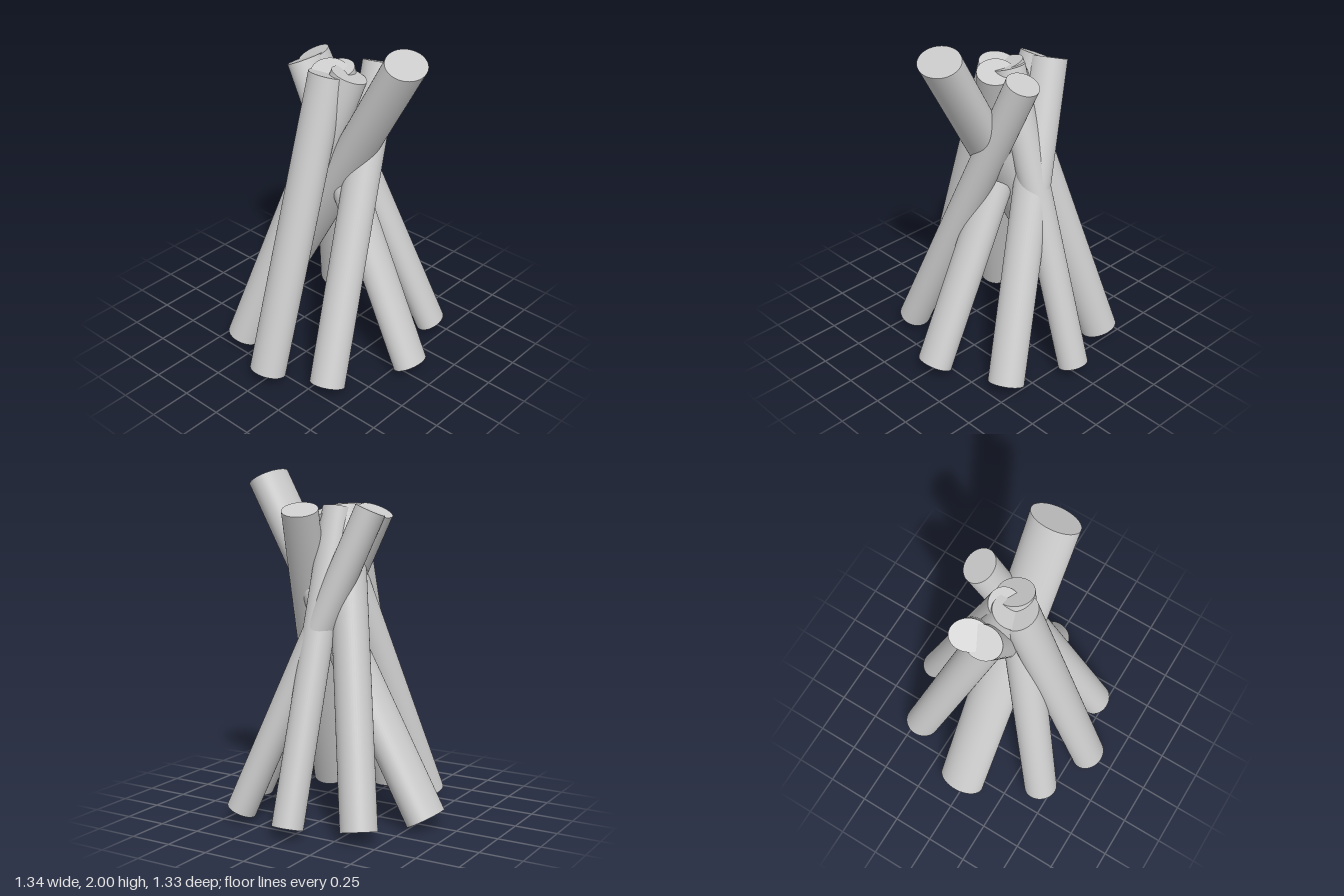
import * as THREE from 'three';

// A closed log from base to top; oval section: wide radius sideways, narrow radius along the lean
function makeLog(name, base, top, wide, narrow, material) {
  const a = new THREE.Vector3(...base);
  const b = new THREE.Vector3(...top);
  const axis = b.clone().sub(a);
  const length = axis.length();
  axis.normalize();
  const side = new THREE.Vector3(0, 1, 0).cross(axis).normalize();
  const lean = side.clone().cross(axis);

  const geometry = new THREE.CylinderGeometry(1, 1, length, 48);
  geometry.scale(wide, 1, narrow);
  const mesh = new THREE.Mesh(geometry, material);
  mesh.name = name;
  mesh.quaternion.setFromRotationMatrix(new THREE.Matrix4().makeBasis(side, axis, lean));
  mesh.position.copy(a).add(b).multiplyScalar(0.5);
  return mesh;
}

export function createModel() {
  const model = new THREE.Group();
  model.name = 'leaningLogStack';
  const wood = new THREE.MeshStandardMaterial({ color: 0xcccccc });

  // name, base centre, top centre, wide radius, narrow radius
  const logs = [
    ['backLog', [0.025, 0.052, -0.568], [0.025, 1.95, 0.484], 0.145, 0.106],
    ['frontLog', [0.025, 0.063, 0.585], [0.025, 1.78, -0.24], 0.111, 0.091],
    ['rightLog', [-0.58, 0.055, 0], [-0.05, 1.78, 0], 0.112, 0.1],
    ['leftLog', [0.587, 0.058, 0], [0.043, 1.785, 0], 0.091, 0.086],
    ['frontRightLog', [-0.44, 0.055, 0.345], [0.265, 1.785, 0.115], 0.105, 0.094],
    ['frontLeftLog', [0.445, 0.06, 0.41], [0.105, 1.787, -0.245], 0.107, 0.088],
    ['backRightLog', [-0.43, 0.06, -0.347], [0.028, 1.775, 0.09], 0.104, 0.104],
    ['backLeftLog', [0.45, 0.06, -0.375], [-0.015, 1.78, -0.015], 0.105, 0.11],
  ];
  for (const [name, base, top, wide, narrow] of logs) {
    model.add(makeLog(name, base, top, wide, narrow, wood));
  }
  return model;
}
